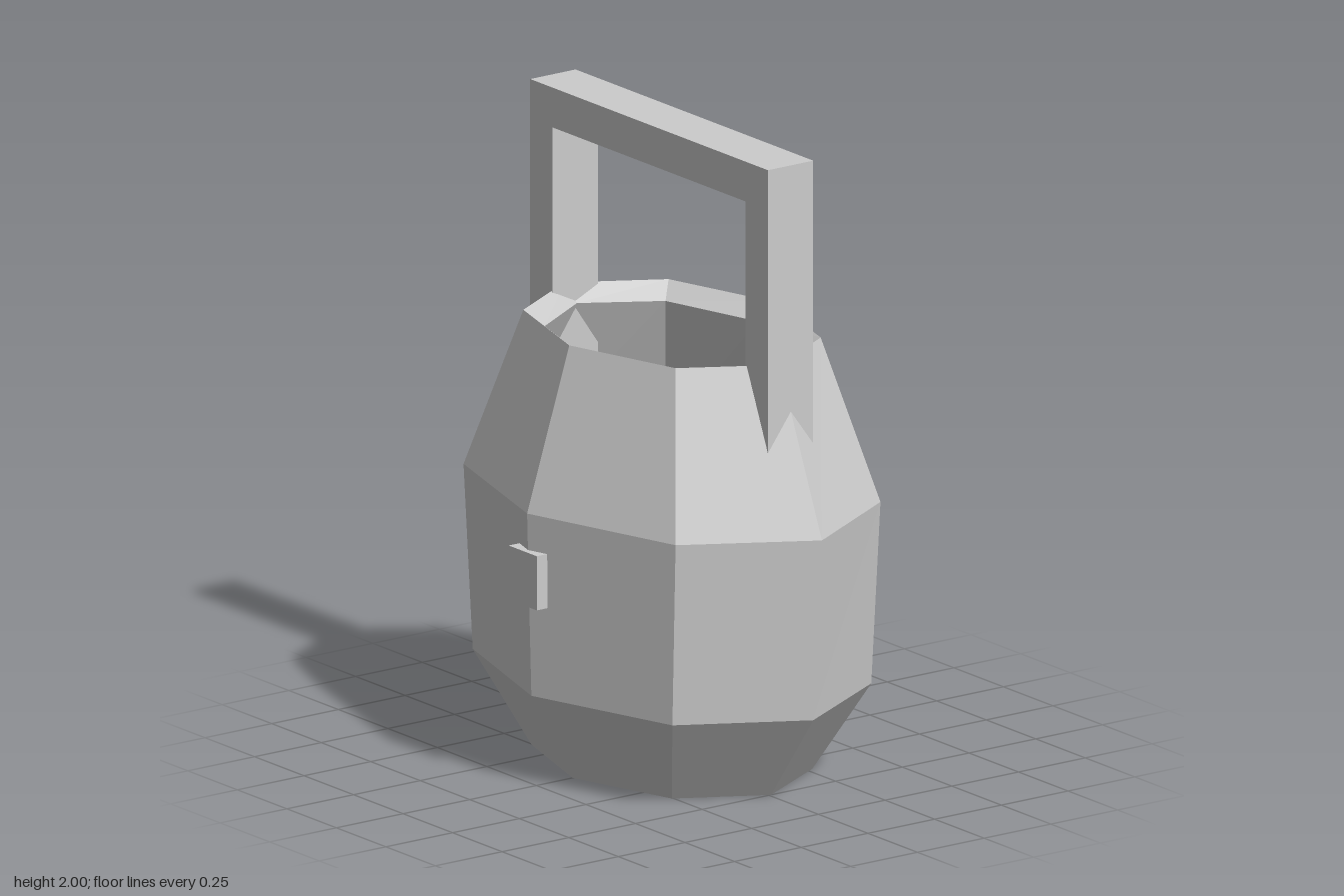
import * as THREE from 'three';

const grey = new THREE.MeshStandardMaterial({ color: 0xcccccc, flatShading: true });
grey.name = 'plain grey';

const SIDES = 8;

// Faceted shell through elliptical rings [y, radiusX, radiusZ]; radius 0 closes an end
function ringShell(rings) {
  const point = ([y, rx, rz], j) => {
    const a = (j / SIDES) * Math.PI * 2;
    return [rx * Math.sin(a), y, rz * Math.cos(a)];
  };
  const pos = [];
  for (let i = 0; i < rings.length - 1; i++) {
    const lower = rings[i], upper = rings[i + 1];
    for (let j = 0; j < SIDES; j++) {
      const a = point(lower, j), b = point(lower, j + 1);
      const c = point(upper, j + 1), d = point(upper, j);
      if (lower[1] > 0) pos.push(...a, ...b, ...c);
      if (upper[1] > 0) pos.push(...a, ...c, ...d);
    }
  }
  const geo = new THREE.BufferGeometry();
  geo.setAttribute('position', new THREE.Float32BufferAttribute(pos, 3));
  geo.computeVertexNormals();
  return geo;
}

function addPart(group, name, geometry, x, y, z) {
  const mesh = new THREE.Mesh(geometry, grey);
  mesh.name = name;
  mesh.position.set(x, y, z);
  group.add(mesh);
}

export function createModel() {
  const model = new THREE.Group();
  model.name = 'bucket';

  // Hollow pot: outer wall upwards, bevelled rim, inner wall down to the floor
  addPart(model, 'pot', ringShell([
    [0, 0, 0],
    [0, 0.5, 0.372],
    [0.285, 0.713, 0.527],
    [0.86, 0.757, 0.543],
    [1.36, 0.543, 0.385],
    [1.31, 0.48, 0.322],
    [0.85, 0.675, 0.465],
    [0.31, 0.635, 0.45],
    [0.08, 0.4, 0.257],
    [0.08, 0, 0],
  ]), 0, 0, -0.008);

  // Square arch handle, its posts sunk into the shoulders
  const outer = 0.6, inner = 0.487, foot = 1.1;
  const arch = new THREE.Shape([
    [-outer, foot], [-inner, foot], [-inner, 1.875], [inner, 1.875],
    [inner, foot], [outer, foot], [outer, 2], [-outer, 2],
  ].map(([x, y]) => new THREE.Vector2(x, y)));
  addPart(model, 'handle',
    new THREE.ExtrudeGeometry(arch, { depth: 0.17, bevelEnabled: false }), 0, 0, -0.092);

  // Small block on the front
  addPart(model, 'frontStud', new THREE.BoxGeometry(0.142, 0.17, 0.04), -0.002, 0.66, 0.53);

  return model;
}
